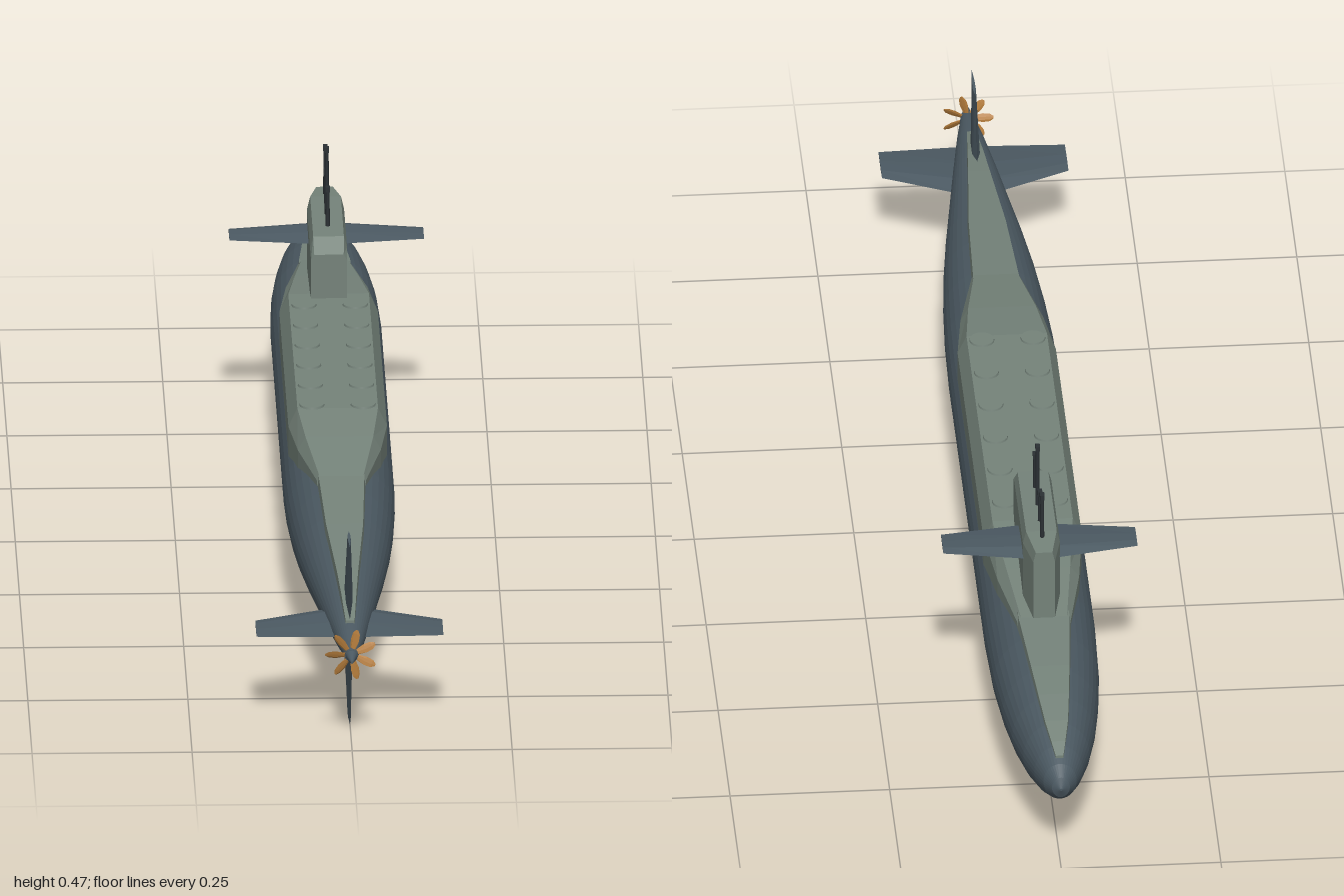
import * as THREE from 'three';

const mat = (name, color) => {
  const m = new THREE.MeshStandardMaterial({ color });
  m.name = name;
  return m;
};

// Skin closed rings (counter-clockwise seen from +z, listed towards +z) with flat facets and end caps
function loft(rings) {
  const pos = [];
  const n = rings[0].length;
  const tri = (a, b, c) => pos.push(...a, ...b, ...c);
  for (let i = 0; i < rings.length - 1; i++) {
    for (let j = 0; j < n; j++) {
      const k = (j + 1) % n;
      const [a, b, c, d] = [rings[i][j], rings[i][k], rings[i + 1][k], rings[i + 1][j]];
      tri(a, b, c);
      tri(a, c, d);
    }
  }
  const first = rings[0], last = rings[rings.length - 1];
  for (let j = 1; j < n - 1; j++) {
    tri(first[0], first[j + 1], first[j]);
    tri(last[0], last[j], last[j + 1]);
  }
  const g = new THREE.BufferGeometry();
  g.setAttribute('position', new THREE.Float32BufferAttribute(pos, 3));
  g.computeVertexNormals();
  return g;
}

// Mirror the right-hand points of a section, bottom to top, into a closed ring
const mirrored = (half, z) => [
  ...half.map(([x, y]) => [x, y, z]),
  ...half.slice().reverse().map(([x, y]) => [-x, y, z]),
];

// Tapered foil running along +x from stations [span, leadingZ, trailingZ, thickness]
function foil(stations) {
  const g = loft(stations.map(([s, z0, z1, t]) => {
    const c = z1 - z0;
    return [
      [z1, 0, s], [z0 + 0.6 * c, 0.4 * t, s], [z0 + 0.25 * c, 0.5 * t, s],
      [z0, 0, s], [z0 + 0.25 * c, -0.5 * t, s], [z0 + 0.6 * c, -0.4 * t, s],
    ];
  }));
  const turn = new THREE.Quaternion().setFromAxisAngle(new THREE.Vector3(1, 0, 1).normalize(), Math.PI);
  return g.applyQuaternion(turn);
}

export function createModel() {
  const root = new THREE.Group();
  root.name = 'submarine';
  const hullMat = mat('hull slate', 0x4c5a63);
  const deckMat = mat('deck grey green', 0x75837a);
  const mastMat = mat('mast black', 0x2b3034);
  const bronze = mat('propeller bronze', 0xb57d3c);
  const add = (name, geometry, material, parent = root) => {
    const m = new THREE.Mesh(geometry, material);
    m.name = name;
    parent.add(m);
    return m;
  };

  // Pressure hull: z, half width, half height
  const axisY = 0.15;
  const hullSections = [
    [-1, 0.002, 0.002], [-0.993, 0.014, 0.018], [-0.975, 0.026, 0.032], [-0.945, 0.038, 0.047],
    [-0.9, 0.052, 0.061], [-0.84, 0.065, 0.072], [-0.77, 0.075, 0.08], [-0.68, 0.083, 0.086],
    [-0.55, 0.087, 0.088], [0.2, 0.087, 0.088], [0.3, 0.085, 0.085], [0.4, 0.08, 0.079],
    [0.5, 0.072, 0.07], [0.6, 0.061, 0.059], [0.7, 0.048, 0.047], [0.8, 0.035, 0.035],
    [0.9, 0.021, 0.021], [0.96, 0.011, 0.011], [1, 0.002, 0.002],
  ];
  const sides = 40;
  add('hull', loft(hullSections.map(([z, rx, ry]) => Array.from({ length: sides }, (_, i) => {
    const a = (i / sides) * Math.PI * 2;
    return [rx * Math.cos(a), axisY + ry * Math.sin(a), z];
  }))), hullMat);

  // Low deck strip from bow to stern: z, top half width, top height
  const deckSections = [
    [-0.965, 0.006, 0.191], [-0.94, 0.011, 0.202], [-0.9, 0.018, 0.215], [-0.84, 0.024, 0.226],
    [-0.77, 0.03, 0.234], [-0.64, 0.04, 0.242], [0.36, 0.036, 0.238], [0.55, 0.029, 0.222],
    [0.72, 0.017, 0.206], [0.8, 0.012, 0.196], [0.88, 0.007, 0.178],
  ];
  add('deckStrip', loft(deckSections.map(([z, w, y]) =>
    mirrored([[w * 1.12, y - 0.035], [w, y]], z))), deckMat);

  // Raised casing: z, side half width, top half width, bottom, shoulder and top heights
  const casingSections = [
    [-0.64, 0.042, 0.036, 0.218, 0.234, 0.242], [-0.52, 0.064, 0.05, 0.2, 0.238, 0.257],
    [-0.4, 0.077, 0.063, 0.185, 0.24, 0.27], [0.14, 0.077, 0.063, 0.185, 0.24, 0.27],
    [0.24, 0.065, 0.053, 0.2, 0.236, 0.258], [0.37, 0.038, 0.034, 0.222, 0.23, 0.237],
  ];
  add('missileCasing', loft(casingSections.map(([z, w, t, yb, ys, yt]) =>
    mirrored([[w, yb], [w, ys], [t, yt]], z))), deckMat);

  // Two rows of round hatches
  const hatches = new THREE.Group();
  hatches.name = 'hatches';
  root.add(hatches);
  const hatchGeo = new THREE.CylinderGeometry(0.019, 0.02, 0.004, 16);
  for (let i = 0; i < 6; i++) {
    for (const x of [-0.04, 0.04]) {
      add('hatch', hatchGeo, deckMat, hatches).position.set(x, 0.271, -0.345 + i * 0.0943);
    }
  }

  // Sail: z, half width, top half width, shoulder and top heights
  const sailSections = [
    [-0.642, 0.017, 0.013, 0.345, 0.362], [-0.585, 0.029, 0.024, 0.345, 0.366],
    [-0.405, 0.029, 0.024, 0.345, 0.363], [-0.378, 0.028, 0.023, 0.333, 0.342],
  ];
  add('sail', loft(sailSections.map(([z, w, t, ys, yt]) =>
    mirrored([[w, 0.22], [w, ys], [t, yt]], z))), deckMat);

  // Masts with small forward-facing heads: z, top height
  const masts = new THREE.Group();
  masts.name = 'masts';
  root.add(masts);
  for (const [z, top] of [[-0.453, 0.428], [-0.505, 0.475], [-0.553, 0.422], [-0.6, 0.445]]) {
    add('mast', new THREE.CylinderGeometry(0.0028, 0.0035, top - 0.35, 8), mastMat, masts)
      .position.set(0, (top + 0.35) / 2, z);
    add('mastHead', new THREE.BoxGeometry(0.007, 0.008, 0.011), mastMat, masts)
      .position.set(0, top - 0.004, z - 0.002);
  }

  // Sail planes
  const sailPlane = foil([[0.02, -0.592, -0.492, 0.014], [0.152, -0.567, -0.512, 0.005]]);
  for (const side of [0, 1]) {
    const m = add(side ? 'rightSailPlane' : 'leftSailPlane', sailPlane, hullMat);
    m.position.y = 0.32;
    m.rotation.z = side * Math.PI;
  }

  // Cross-shaped stern fins
  const sternFin = foil([[0, 0.73, 0.88, 0.016], [0.146, 0.798, 0.874, 0.005]]);
  ['leftSternPlane', 'upperRudder', 'rightSternPlane', 'lowerRudder'].forEach((name, i) => {
    const m = add(name, sternFin, hullMat);
    m.position.y = axisY;
    m.rotation.z = (i * Math.PI) / 2;
  });

  // Seven-bladed propeller
  const propeller = new THREE.Group();
  propeller.name = 'propeller';
  propeller.position.set(0, axisY, 0.962);
  root.add(propeller);
  const blade = foil([
    [0.004, -0.003, 0.003, 0.003], [0.024, -0.007, 0.007, 0.0025],
    [0.035, -0.006, 0.006, 0.002], [0.041, -0.002, 0.002, 0.001],
  ]).rotateX(1.15);
  for (let i = 0; i < 7; i++) {
    add('propellerBlade', blade, bronze, propeller).rotation.z = Math.PI + (i / 7) * Math.PI * 2;
  }
  add('propellerHub', new THREE.CylinderGeometry(0.01, 0.012, 0.014, 12).rotateX(Math.PI / 2), hullMat, propeller);

  return root;
}
